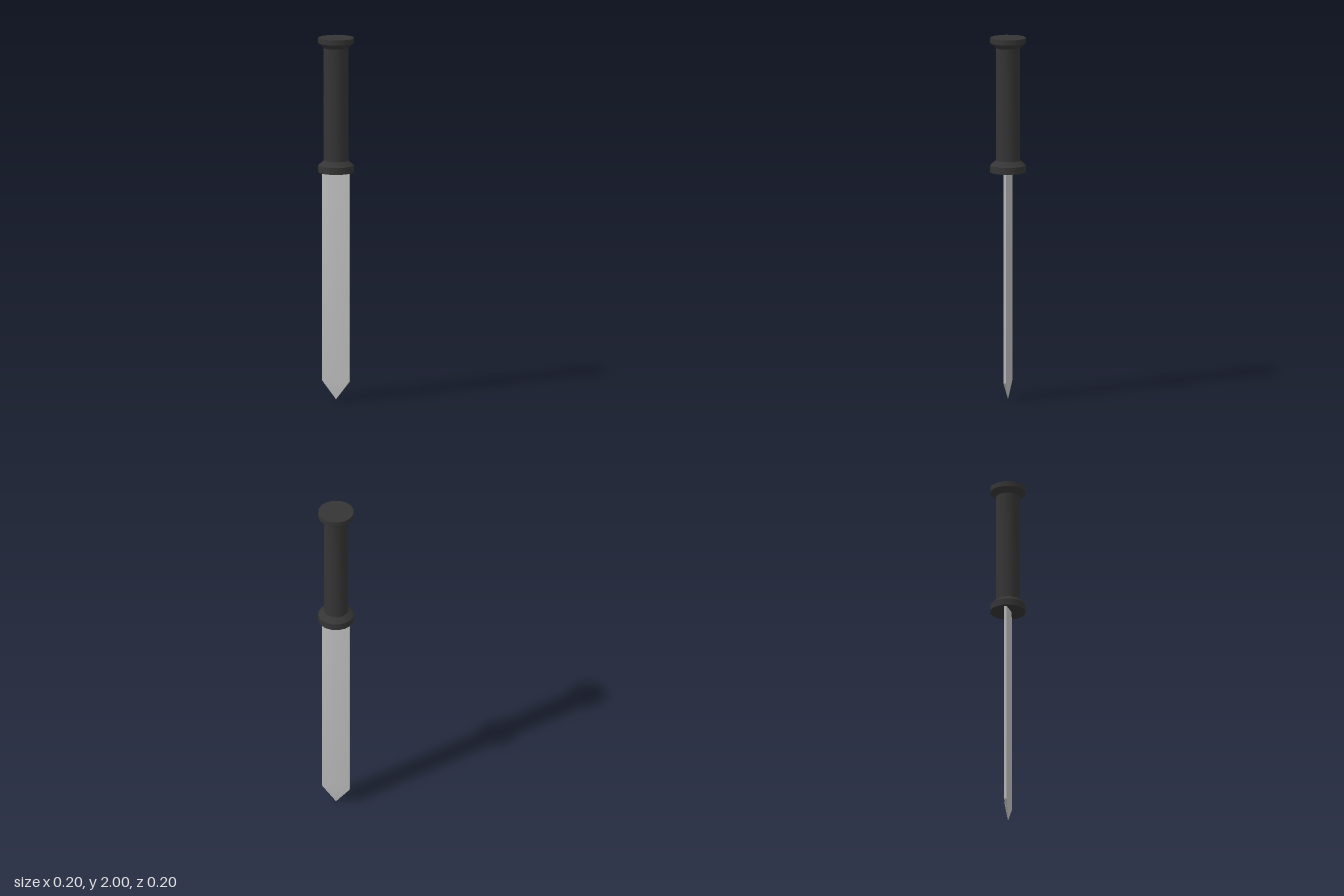
import * as THREE from 'three';
import { toCreasedNormals } from 'three/addons/utils/BufferGeometryUtils.js';

const steel = new THREE.MeshStandardMaterial({ name: 'steel', color: 0xc0c0c0 });
const darkGrip = new THREE.MeshStandardMaterial({ name: 'darkGrip', color: 0x353535 });

// Six-sided blade: blunt side edges, a shallow central ridge and a tapered point
function bladeGeometry(halfWidth, halfThickness, edge) {
  const section = [
    [halfWidth, edge], [0, halfThickness], [-halfWidth, edge],
    [-halfWidth, -edge], [0, -halfThickness], [halfWidth, -edge],
  ];
  const rings = [[1.27, 1], [0.1, 1], [0, 0.001]]; // height, scale
  const positions = [];
  const point = (ring, i) => {
    const [x, z] = section[i % 6];
    const [y, s] = rings[ring];
    return [x * s, y, z * s];
  };
  for (let r = 0; r < rings.length - 1; r++) {
    for (let i = 0; i < 6; i++) {
      const a = point(r, i), b = point(r, i + 1);
      const c = point(r + 1, i), d = point(r + 1, i + 1);
      positions.push(...a, ...b, ...c, ...b, ...d, ...c);
    }
  }
  const geometry = new THREE.BufferGeometry();
  geometry.setAttribute('position', new THREE.Float32BufferAttribute(positions, 3));
  return toCreasedNormals(geometry, 0.4);
}

export function createModel() {
  const model = new THREE.Group();
  model.name = 'dagger';

  const blade = new THREE.Mesh(bladeGeometry(0.078, 0.018, 0.007), steel);
  blade.name = 'blade';
  model.add(blade);

  // Guard, grip and pommel turned as one closed profile
  const profile = [
    [0, 1.257], [0.098, 1.257], [0.098, 1.295], [0.067, 1.322],
    [0.067, 1.945], [0.098, 1.972], [0.098, 2], [0, 2],
  ].map(([r, y]) => new THREE.Vector2(r, y));
  const handle = new THREE.Mesh(toCreasedNormals(new THREE.LatheGeometry(profile, 16), 0.5), darkGrip);
  handle.name = 'handle';
  model.add(handle);

  return model;
}
